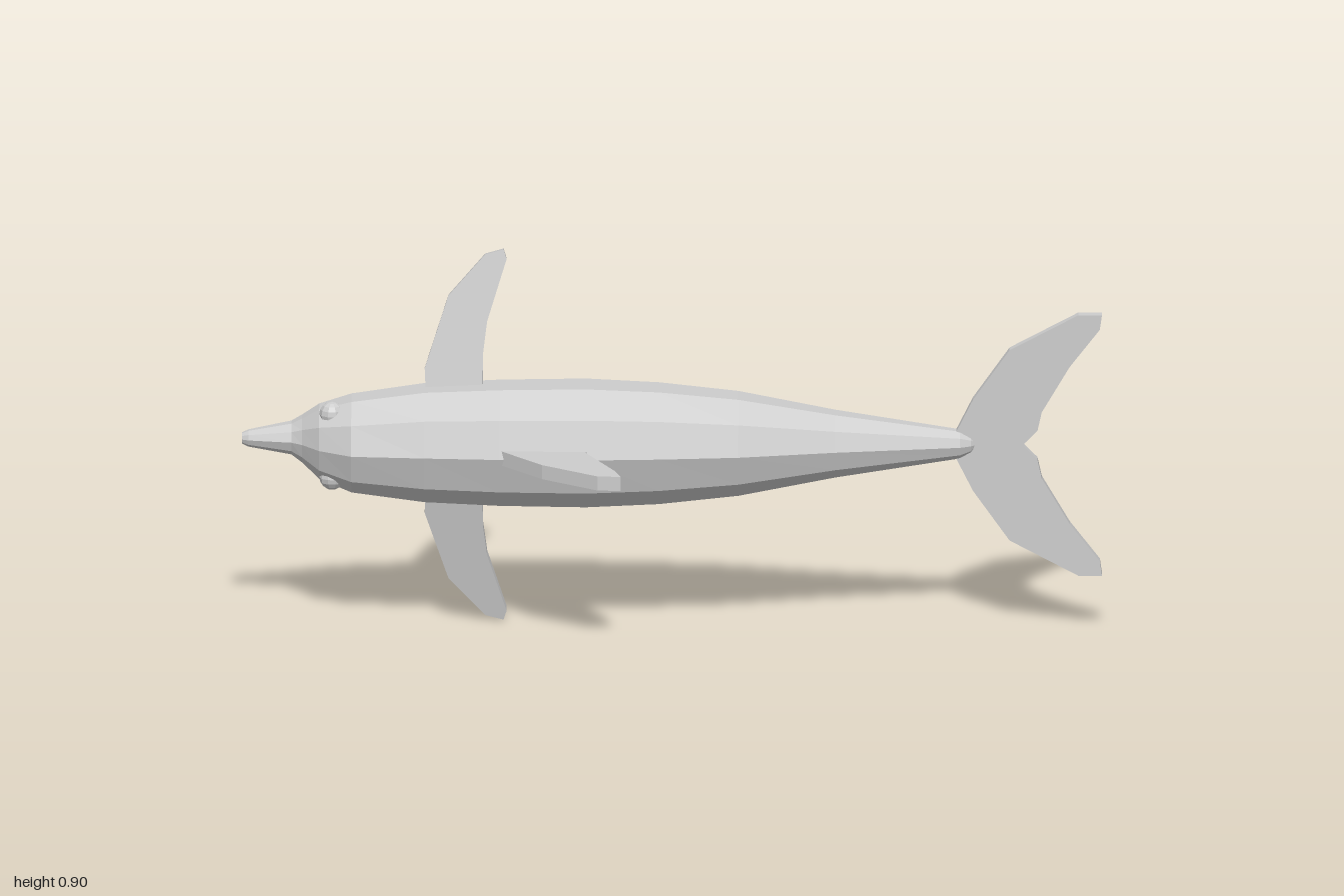
import * as THREE from 'three';

const CY = 0.456, CZ = -0.103; // body axis

export function createModel() {
  const group = new THREE.Group();
  const skin = new THREE.MeshStandardMaterial({ color: 0xcccccc, flatShading: true });
  skin.name = 'grey skin';

  const add = (name, geometry, parent = group) => {
    const mesh = new THREE.Mesh(geometry, skin);
    mesh.name = name;
    parent.add(mesh);
    return mesh;
  };

  // Flat fin: outline extruded evenly about its own plane
  const finGeometry = (points, thickness) => {
    const shape = new THREE.Shape(points.map(([x, y]) => new THREE.Vector2(x, y)));
    return new THREE.ExtrudeGeometry(shape, { depth: thickness, bevelEnabled: false })
      .translate(0, 0, -thickness / 2);
  };

  // Body: ten-sided sections from beak to tail [x, centre z, half depth, half height]
  const sections = [
    [-1.0, -0.14, 0.014, 0.013],
    [-0.985, -0.14, 0.022, 0.02],
    [-0.885, -0.145, 0.045, 0.039],
    [-0.86, -0.137, 0.056, 0.056],
    [-0.82, -0.115, 0.085, 0.088],
    [-0.745, -0.1, 0.118, 0.115],
    [-0.575, -0.104, 0.135, 0.139],
    [-0.4, -0.104, 0.146, 0.147],
    [-0.2, -0.104, 0.149, 0.15],
    [-0.03, -0.103, 0.139, 0.142],
    [0.155, -0.103, 0.122, 0.122],
    [0.38, -0.103, 0.078, 0.079],
    [0.67, -0.103, 0.034, 0.034],
    [0.695, -0.103, 0.022, 0.022],
    [0.71, -0.103, 0.006, 0.006],
  ];
  const sides = 10;
  const positions = [], index = [];
  for (const [x, zc, rz, ry] of sections) {
    for (let i = 0; i < sides; i++) {
      const a = (i / sides) * Math.PI * 2;
      positions.push(x, CY + Math.sin(a) * ry, zc + Math.cos(a) * rz);
    }
  }
  for (let s = 0; s < sections.length - 1; s++) {
    for (let i = 0; i < sides; i++) {
      const j = (i + 1) % sides;
      const a = s * sides + i, b = s * sides + j;
      index.push(a, a + sides, b, b, a + sides, b + sides);
    }
  }
  // End caps
  const last = (sections.length - 1) * sides;
  for (let i = 1; i < sides - 1; i++) {
    index.push(0, i, i + 1, last, last + i + 1, last + i);
  }
  const bodyGeometry = new THREE.BufferGeometry();
  bodyGeometry.setAttribute('position', new THREE.Float32BufferAttribute(positions, 3));
  // Faces wind outward
  for (let k = 0; k < index.length; k += 3) {
    [index[k + 1], index[k + 2]] = [index[k + 2], index[k + 1]];
  }
  bodyGeometry.setIndex(index);
  const body = bodyGeometry.toNonIndexed();
  orientOutward(body);
  body.computeVertexNormals();
  add('body', body);

  // Dorsal fin, standing out toward +z
  const dorsal = finGeometry([
    [-0.4, 0], [-0.18, 0], [-0.2, 0.045], [-0.13, 0.2],
    [-0.117, 0.248], [-0.17, 0.245], [-0.3, 0.15], [-0.4, 0.03],
  ], 0.034).rotateX(Math.PI / 2).translate(0, CY + 0.002, 0);
  add('dorsalFin', dorsal);

  // Pectoral fins and eyes, mirrored across the body's middle
  const pectoral = [
    [-0.57, -0.08], [-0.44, -0.08], [-0.44, 0.06], [-0.43, 0.14], [-0.385, 0.285],
    [-0.392, 0.308], [-0.435, 0.296], [-0.52, 0.2], [-0.575, 0.03],
  ];
  for (const side of [1, -1]) {
    const word = side > 0 ? 'upper' : 'lower';
    const points = pectoral.map(([x, y]) => [x, y * side]);
    if (side < 0) points.reverse();
    const fin = add(word + 'PectoralFin', finGeometry(points, 0.027));
    fin.position.set(0, CY + side * 0.143, -0.127);
    fin.rotation.x = -side * 0.195;

    const eye = add(word + 'Eye', new THREE.SphereGeometry(0.03, 10, 8));
    eye.position.set(-0.79, CY + side * 0.076, -0.078);
  }

  // Tail flukes: one outline mirrored about the axis
  const half = [
    [0.82, 0.005], [0.85, 0.035], [0.86, 0.08], [0.925, 0.19], [0.995, 0.28], [1.0, 0.315],
    [0.945, 0.315], [0.785, 0.23], [0.7, 0.11], [0.66, 0.03],
  ];
  const mirrored = half.map(([x, y]) => [x, -y]).reverse();
  add('tailFlukes', finGeometry([...half, ...mirrored], 0.025)).position.set(0, CY, CZ);

  return group;
}

// Flip any triangle that faces the body axis
function orientOutward(geometry) {
  const p = geometry.attributes.position;
  const t = new THREE.Triangle(), n = new THREE.Vector3(), m = new THREE.Vector3();
  const centre = new THREE.Vector3();
  for (let i = 0; i < p.count; i += 3) {
    t.setFromAttributeAndIndices(p, i, i + 1, i + 2);
    t.getNormal(n);
    t.getMidpoint(m);
    centre.set(THREE.MathUtils.clamp(m.x, -0.9, 0.6), CY, m.x < -0.85 ? -0.14 : -0.11);
    if (n.dot(m.sub(centre)) < 0) {
      p.setXYZ(i + 1, t.c.x, t.c.y, t.c.z);
      p.setXYZ(i + 2, t.b.x, t.b.y, t.b.z);
    }
  }
}
